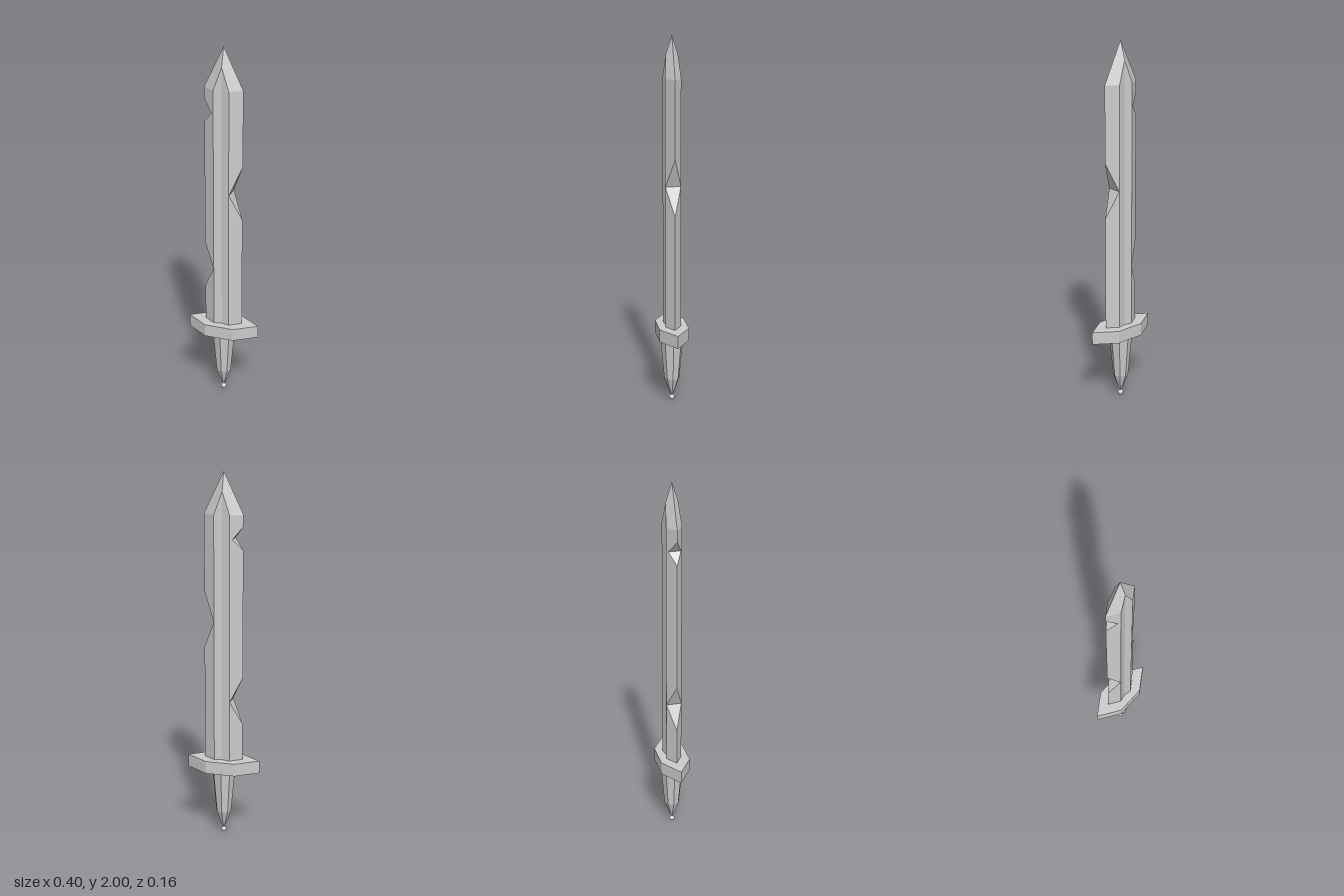
import * as THREE from 'three';

const EDGE = 0.105, RIDGE = 0.042, GROOVE = 0.032;
const BASE = 0.44, SHOULDER = 1.78;

const material = new THREE.MeshStandardMaterial({ color: 0xcccccc, flatShading: true });

function addMesh(group, name, geometry) {
  const mesh = new THREE.Mesh(geometry, material);
  mesh.name = name;
  group.add(mesh);
  return mesh;
}

// One quarter of the blade (one cutting edge, one face), mirrored by sx and sz.
// Each notch is [bottom y, deepest y, top y, x at the deepest point].
function addBladeQuarter(out, sx, sz, notches) {
  const tri = (a, b, c) => {
    for (const p of sx * sz > 0 ? [a, b, c] : [a, c, b]) out.push(p[0] * sx, p[1], p[2] * sz);
  };
  const quad = (a, b, c, d) => { tri(a, b, c); tri(a, c, d); };
  const bevel = (x, y) => [x, y, RIDGE * (EDGE - x) / (EDGE - RIDGE)];

  // bevelled flank with the notched cutting edge
  const edge = [[EDGE, BASE]];
  for (const [y0, y1, y2, x] of notches) edge.push([EDGE, y0], [x, y1], [EDGE, y2]);
  edge.push([EDGE, SHOULDER]);
  for (let i = 0; i + 1 < edge.length; i++) {
    const [px, py] = edge[i], [qx, qy] = edge[i + 1];
    quad([RIDGE, py, RIDGE], bevel(px, py), bevel(qx, qy), [RIDGE, qy, RIDGE]);
    // inner wall of a notch
    if (px !== qx) tri([px, py, 0], [qx, qy, 0], px < qx ? bevel(px, py) : bevel(qx, qy));
  }

  // shallow groove down the middle
  const ridgeTop = [RIDGE, SHOULDER, RIDGE], grooveTop = [0, SHOULDER, GROOVE];
  quad([0, BASE, GROOVE], [RIDGE, BASE, RIDGE], ridgeTop, grooveTop);

  // point
  const grooveEnd = [0, 1.9, GROOVE], shoulder = [EDGE, SHOULDER, 0];
  tri(grooveTop, ridgeTop, grooveEnd);
  tri(ridgeTop, shoulder, grooveEnd);
  tri(shoulder, [0, 2, 0], grooveEnd);
}

function bladeGeometry() {
  const leftNotches = [[1.065, 1.215, 1.37, 0.043]];
  const rightNotches = [[0.645, 0.775, 0.905, 0.043], [1.595, 1.655, 1.72, 0.055]];
  const out = [];
  for (const sz of [1, -1]) {
    addBladeQuarter(out, 1, sz, leftNotches);
    addBladeQuarter(out, -1, sz, rightNotches);
  }
  const geometry = new THREE.BufferGeometry();
  geometry.setAttribute('position', new THREE.Float32BufferAttribute(out, 3));
  geometry.computeVertexNormals();
  return geometry;
}

export function createModel() {
  const sword = new THREE.Group();
  sword.name = 'sword';

  addMesh(sword, 'blade', bladeGeometry());

  // hexagonal crossguard
  const outline = [[0.2, 0], [0.08, 0.08], [-0.08, 0.08], [-0.2, 0], [-0.08, -0.08], [0.08, -0.08]];
  const guard = new THREE.ExtrudeGeometry(
    new THREE.Shape(outline.map(([x, y]) => new THREE.Vector2(x, y))),
    { depth: 0.07, bevelEnabled: false });
  guard.rotateX(-Math.PI / 2).translate(0, 0.37, 0);
  addMesh(sword, 'crossguard', guard);

  // eight-sided grip tapering to a point
  const profile = [[0.004, 0.025], [0.042, 0.13], [0.064, 0.37]];
  addMesh(sword, 'grip', new THREE.LatheGeometry(profile.map(([r, y]) => new THREE.Vector2(r, y)), 8));

  // small ball at the end of the grip
  addMesh(sword, 'pommel', new THREE.SphereGeometry(0.016, 16, 12)).position.y = 0.016;

  return sword;
}
